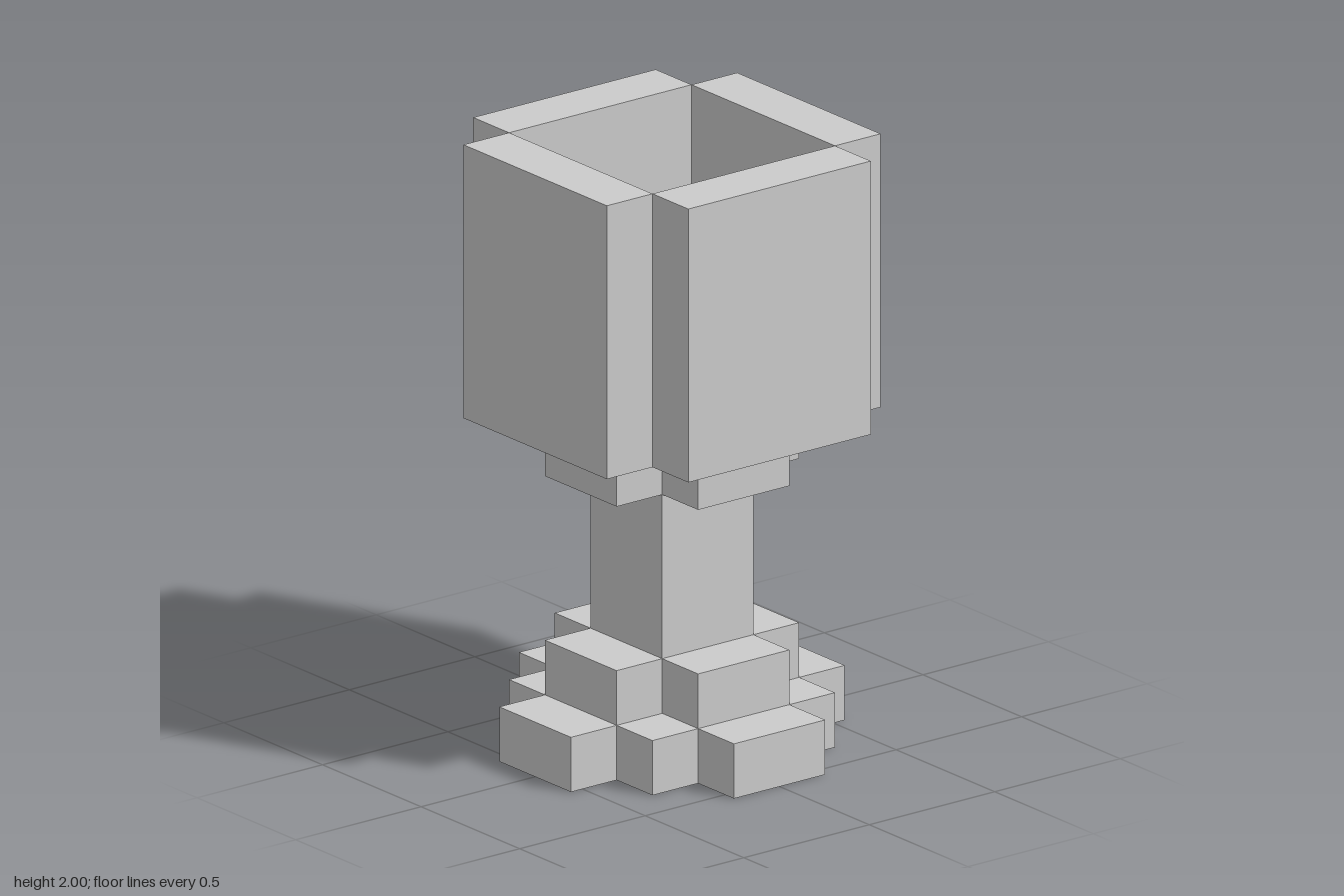
import * as THREE from 'three';

const U = 2 / 11; // block size: the goblet is 11 blocks tall

export function createModel() {
  const group = new THREE.Group();
  const material = new THREE.MeshStandardMaterial({ color: 0xcccccc, flatShading: true });
  const thin = new THREE.MeshStandardMaterial({ color: 0xcccccc, side: THREE.DoubleSide });

  const add = (name, geometry, mat = material) => {
    const mesh = new THREE.Mesh(geometry, mat);
    mesh.name = name;
    group.add(mesh);
    return mesh;
  };

  // Stepped slab: the corners of one quadrant, turned four times, in blocks
  const slab = (name, corners, bottom, height) => {
    const points = [];
    for (let turn = 0; turn < 4; turn++) {
      for (const [x, y] of corners) {
        let p = [x, y];
        for (let i = 0; i < turn; i++) p = [-p[1], p[0]];
        points.push(new THREE.Vector2(p[0] * U, p[1] * U));
      }
    }
    const geometry = new THREE.ExtrudeGeometry(new THREE.Shape(points), { depth: height * U, bevelEnabled: false });
    geometry.rotateX(-Math.PI / 2);
    geometry.translate(0, bottom * U, 0);
    return add(name, geometry);
  };

  const cross = [[2, 1], [1, 1], [1, 2]];

  // Foot, stem and collar
  slab('foot', [[3, 1], [2, 1], [2, 2], [1, 2], [1, 3]], 0, 1);
  slab('footStep', cross, 1, 1);
  slab('stem', [[1, 1]], 2, 3);
  slab('collar', cross, 5, 1);

  // Open bowl: four walls meeting only along their inner edges
  ['frontWall', 'leftWall', 'backWall', 'rightWall'].forEach((name, i) => {
    const wall = new THREE.BoxGeometry(4 * U, 5 * U, U);
    wall.translate(0, 8.5 * U, 2.5 * U);
    wall.rotateY(i * Math.PI / 2);
    add(name, wall);
  });

  // Thin floor closing the bowl
  const floor = new THREE.PlaneGeometry(4 * U, 4 * U);
  floor.rotateX(-Math.PI / 2);
  floor.translate(0, 6 * U, 0);
  add('bowlFloor', floor, thin);

  return group;
}
